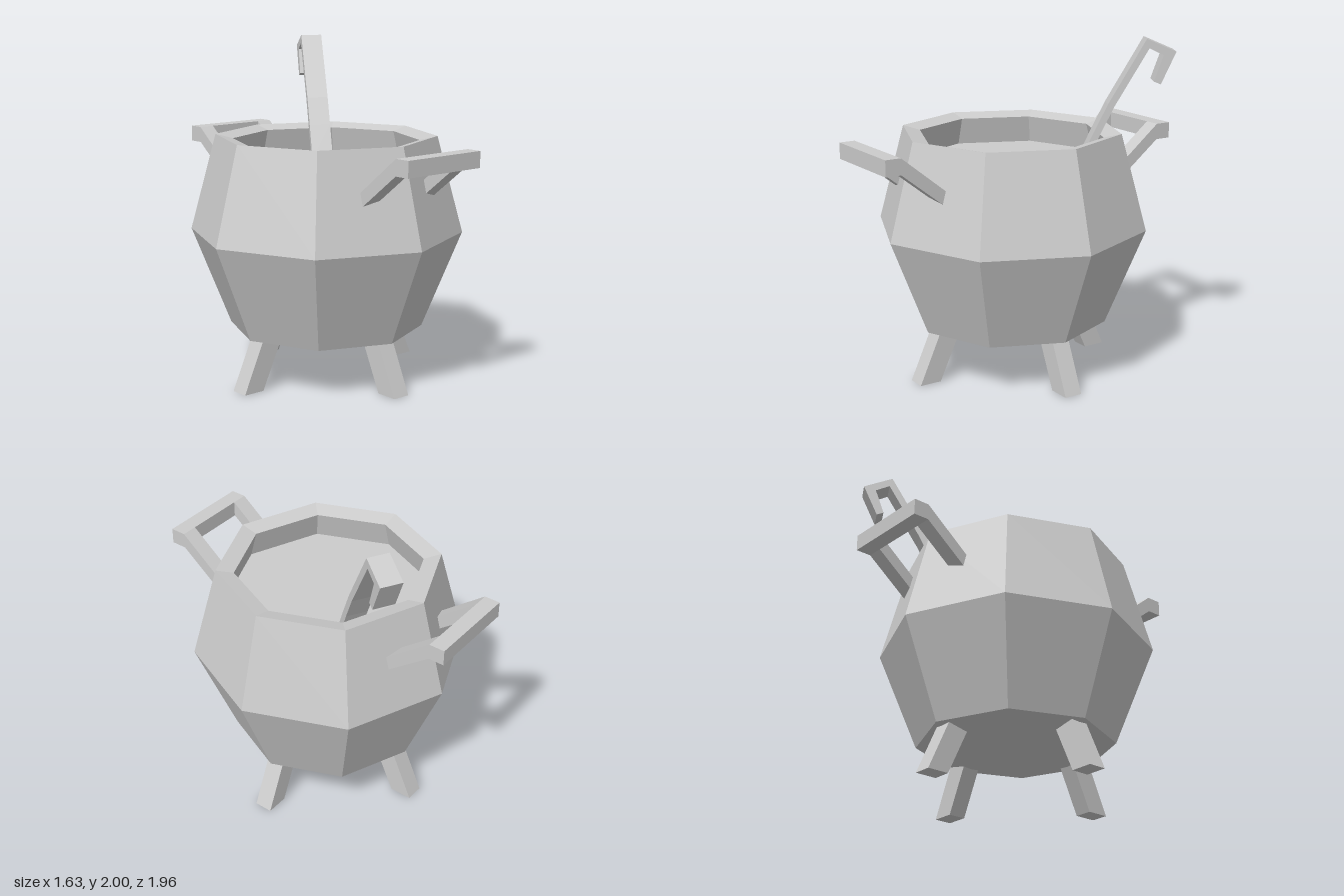
import * as THREE from 'three';

const material = new THREE.MeshStandardMaterial({ color: 0xcccccc, flatShading: true });

// Side profile (outward, y) extruded to a width centred on its own plane
function prism(name, profile, width) {
  const shape = new THREE.Shape(profile.map(([s, y]) => new THREE.Vector2(s, y)));
  const geometry = new THREE.ExtrudeGeometry(shape, { depth: width, bevelEnabled: false });
  geometry.translate(0, 0, -width / 2);
  const mesh = new THREE.Mesh(geometry, material);
  mesh.name = name;
  return mesh;
}

export function createModel() {
  const model = new THREE.Group();
  model.name = 'cauldron';

  // Eight-sided pot: pointed base, belly, sloped rim, inner wall and liquid surface
  const potProfile = [
    [0, 0.18], [0.58, 0.3], [0.815, 0.88], [0.66, 1.455],
    [0.555, 1.43], [0.6, 1.265], [0, 1.265],
  ].map(([r, y]) => new THREE.Vector2(r, y));
  const pot = new THREE.Mesh(new THREE.LatheGeometry(potProfile, 8), material);
  pot.name = 'pot';
  model.add(pot);

  // Four splayed legs under the corners on the axes
  const legProfile = [[0.53, 0], [0.665, 0], [0.525, 0.31], [0.385, 0.31]];
  for (let i = 0; i < 4; i++) {
    const leg = prism('leg', legProfile, 0.11);
    leg.rotation.y = i * Math.PI / 2;
    model.add(leg);
  }

  // Front and back handles: a level bar on two slanted arms
  const armProfile = [[0.59, 1.115], [0.885, 1.345], [0.885, 1.44], [0.59, 1.205]];
  const barProfile = [[0.885, 1.345], [0.98, 1.345], [0.98, 1.44], [0.885, 1.44]];
  for (const [name, turn] of [['frontHandle', 0], ['backHandle', Math.PI]]) {
    const handle = new THREE.Group();
    handle.name = name;
    const bar = prism('handleBar', barProfile, 0.555);
    bar.rotation.y = -Math.PI / 2;
    handle.add(bar);
    for (const side of [-1, 1]) {
      const arm = prism('handleArm', armProfile, 0.097);
      arm.rotation.y = -Math.PI / 2;
      arm.position.x = side * 0.229;
      handle.add(arm);
    }
    handle.rotation.y = turn;
    model.add(handle);
  }

  // Hooked ladle handle leaning out over the back left of the rim
  const ladle = prism('ladle', [
    [-0.01, 1.25], [0.035, 1.25], [0.128, 1.455], [0.205, 1.61], [0.4, 1.945],
    [0.483, 1.905], [0.43, 1.752], [0.471, 1.735], [0.557, 1.925],
    [0.384, 2], [0.165, 1.62], [0.084, 1.455],
  ], 0.13);
  ladle.rotation.y = Math.PI / 3;
  ladle.position.set(0.245, 0, -0.315);
  model.add(ladle);

  return model;
}
